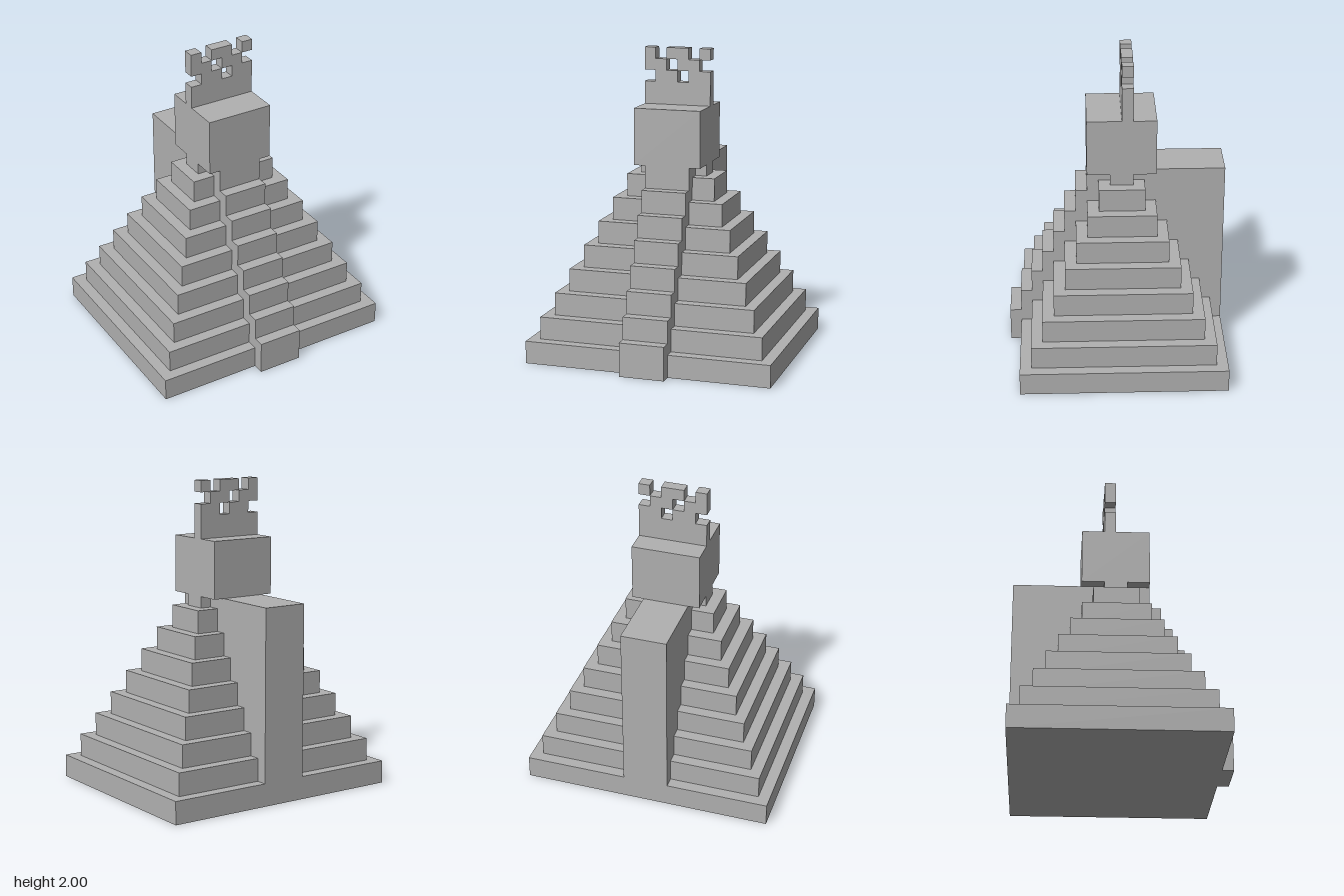
import * as THREE from 'three';

const U = 2 / 27; // one block

export function createModel() {
  const model = new THREE.Group();
  model.name = 'steppedTemple';
  const stone = new THREE.MeshStandardMaterial({ color: 0xb0b0b0 });
  stone.name = 'grey stone';

  const add = (name, geometry, parent = model) => {
    const mesh = new THREE.Mesh(geometry, stone);
    mesh.name = name;
    parent.add(mesh);
    return mesh;
  };
  // Box given by its limits in blocks
  const block = (name, x0, x1, y0, y1, z0, z1, parent) => {
    const g = new THREE.BoxGeometry((x1 - x0) * U, (y1 - y0) * U, (z1 - z0) * U);
    g.translate((x0 + x1) / 2 * U, (y0 + y1) / 2 * U, (z0 + z1) / 2 * U);
    return add(name, g, parent);
  };

  // Eight pyramid tiers, each inset by one block
  const tiers = new THREE.Group();
  tiers.name = 'pyramidTiers';
  model.add(tiers);
  for (let k = 0; k < 8; k++) {
    block(`tier${k + 1}`, k - 11, 11 - k, 2 * k, 2 * k + 2, k - 9.5, 8.5 - k, tiers);
  }

  // Front stairway: stepped side profile extruded across its width
  const profile = new THREE.Shape();
  profile.moveTo(0, 0);
  profile.lineTo(9.5 * U, 0);
  for (let k = 0; k < 8; k++) {
    profile.lineTo((9.5 - k) * U, (3 + 2 * k) * U);
    profile.lineTo((k < 7 ? 8.5 - k : 0) * U, (3 + 2 * k) * U);
  }
  const stairs = new THREE.ExtrudeGeometry(profile, { depth: 4 * U, bevelEnabled: false });
  stairs.rotateY(-Math.PI / 2);
  stairs.translate(2 * U, 0, 0);
  add('frontStairway', stairs);

  // Tall buttress at the back
  block('backButtress', -2, 2, 0, 17, -9.5, 0);

  // Shrine and the neck that carries it
  block('shrineNeck', -3, 3, 16, 17, -1.5, 0.5);
  block('shrine', -3, 3, 17, 22, -3.5, 2.5);

  // Roof comb: pierced wall, one block thick, runs listed row by row
  const comb = new THREE.Group();
  comb.name = 'roofComb';
  model.add(comb);
  const runs = [
    [22, 24, -3, 3],
    [24, 25, -2, 0], [24, 25, 1, 3],
    [25, 26, -3, -1], [25, 26, 0, 2],
    [26, 27, -3, -2], [26, 27, -1, 1], [26, 27, 2, 3],
  ];
  for (const [y0, y1, x0, x1] of runs) block('combBlock', x0, x1, y0, y1, -1.5, -0.5, comb);

  return model;
}
